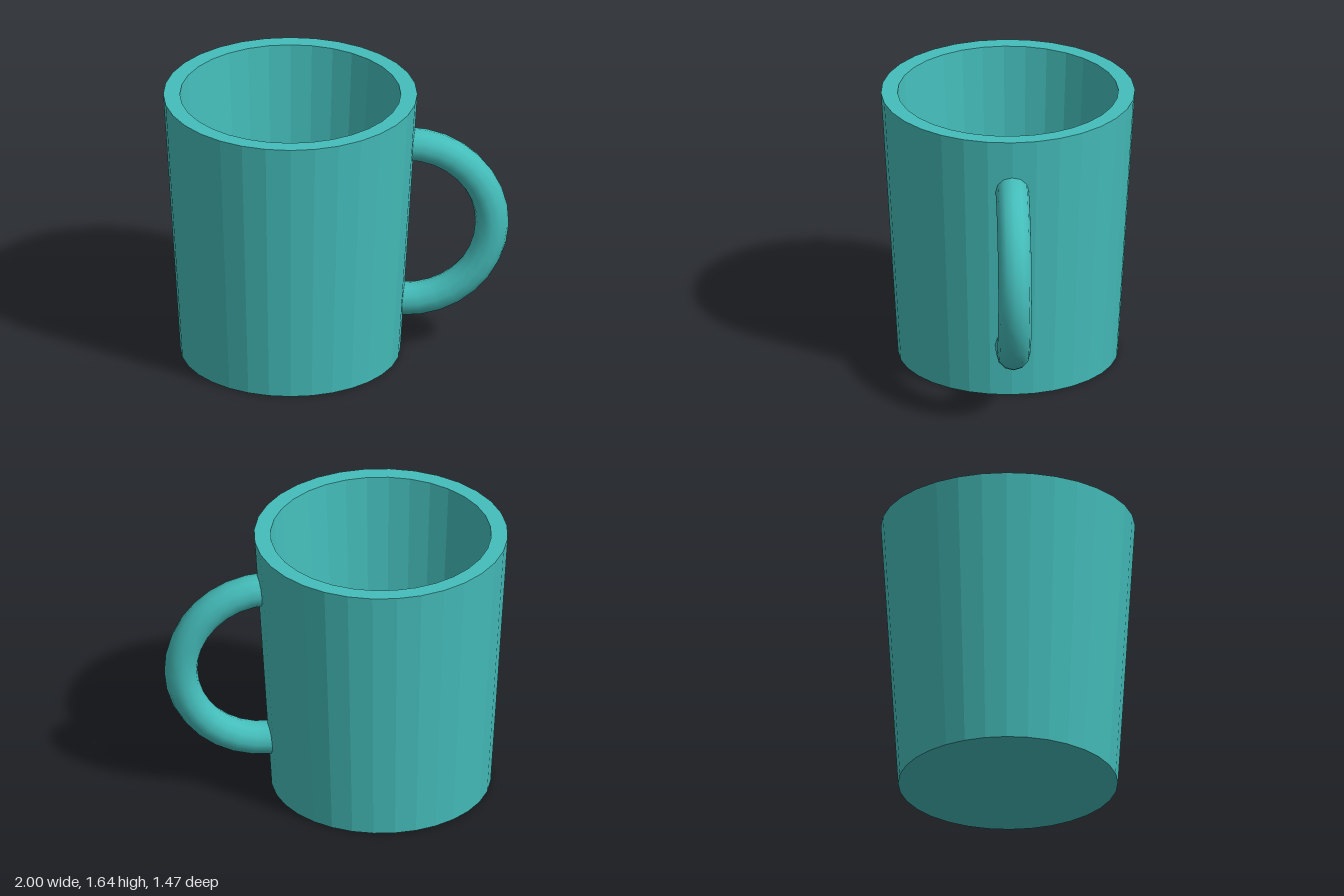
import * as THREE from 'three';

export function createModel() {
  const group = new THREE.Group();
  const teal = new THREE.MeshStandardMaterial({ color: 0x44bdba });
  teal.name = 'teal glaze';

  const SIDES = 32;
  const HEIGHT = 1.64;
  const CUP_X = -0.265;

  // Tapered cup: underside, outer wall, flat rim, inner wall, inner floor
  const profile = [
    [0, 0], [0.637, 0], [0.736, HEIGHT], [0.64, HEIGHT], [0.54, 0.1], [0, 0.1],
  ].map(([r, y]) => new THREE.Vector2(r, y));
  // Unshared vertices give each of the wall's panels a flat shade
  const cupGeometry = new THREE.LatheGeometry(profile, SIDES).toNonIndexed();
  cupGeometry.computeVertexNormals();
  const cup = new THREE.Mesh(cupGeometry, teal);
  cup.name = 'cup';
  cup.position.x = CUP_X;
  group.add(cup);

  // Smooth half-ring handle, its lower end sunk slightly into the wall
  const SINK = 0.05;
  const handleGeometry = new THREE.TorusGeometry(0.5, 0.097, 12, 16, Math.PI + SINK);
  handleGeometry.rotateZ(-Math.PI / 2 - SINK);
  const handle = new THREE.Mesh(handleGeometry, teal);
  handle.name = 'handle';
  handle.position.set(0.403, HEIGHT / 2, 0);
  group.add(handle);

  return group;
}
